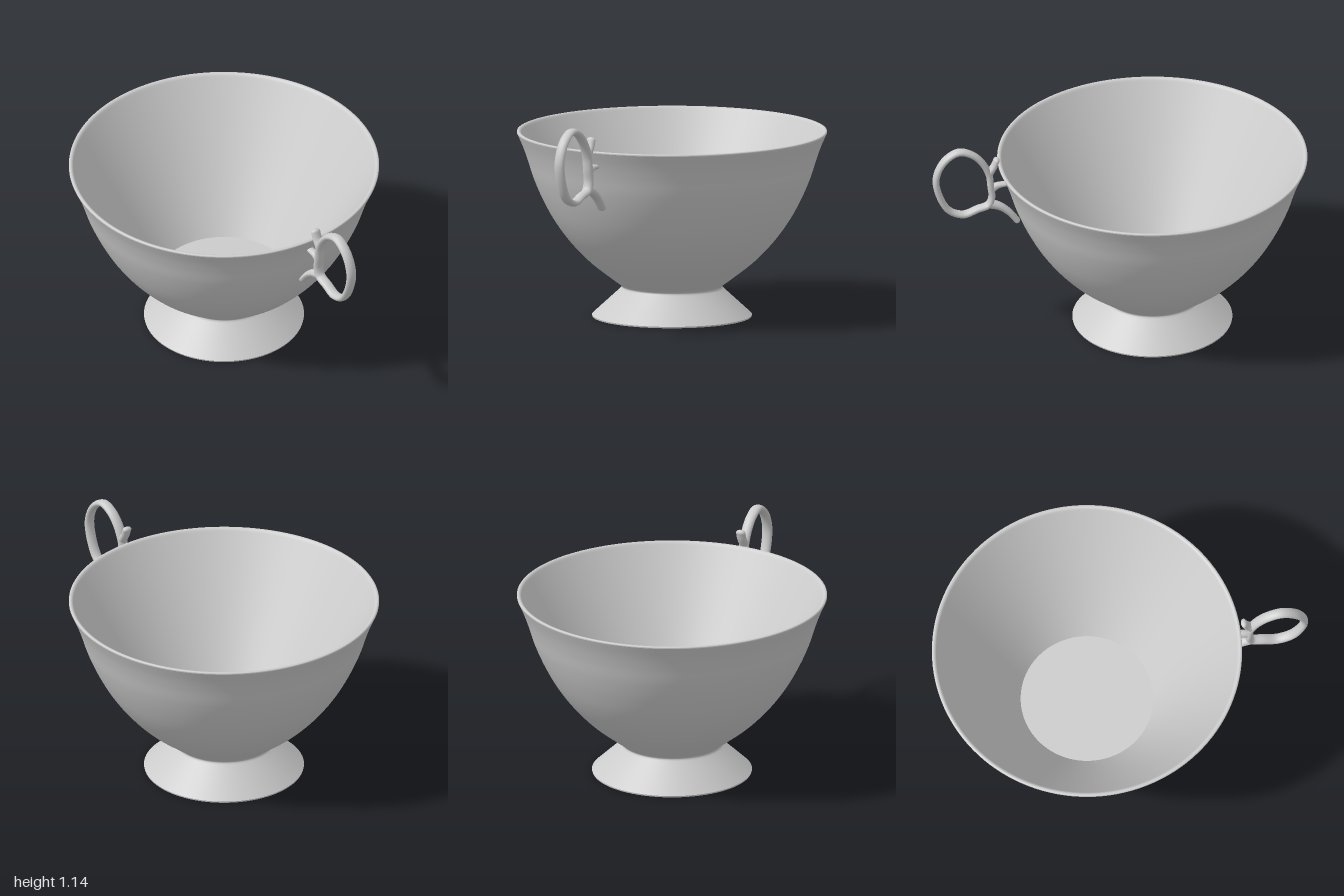
import * as THREE from 'three';

const CUP_X = -0.18; // axis of the bowl
const material = new THREE.MeshStandardMaterial({ color: 0xcccccc });

function add(parent, name, geometry) {
  const mesh = new THREE.Mesh(geometry, material);
  mesh.name = name;
  parent.add(mesh);
}

const vec2 = (pts) => pts.map(([x, y]) => new THREE.Vector2(x, y));
const vec3 = (pts) => pts.map(([x, y]) => new THREE.Vector3(x, y, 0));
const lathe = (pts) => new THREE.LatheGeometry(pts, 128);
const smooth = (pts, n) => new THREE.SplineCurve(vec2(pts)).getPoints(n);

// Flat disc facing up (1) or down (-1)
function disc(radius, y, facing) {
  return new THREE.CircleGeometry(radius, 128).rotateX(-facing * Math.PI / 2).translate(0, y, 0);
}

// Branch of the handle: round tip, spreading in the xy plane towards its root
function branch(parent, name, pts, radius, spread) {
  const points = vec3(pts);
  const curve = new THREE.CatmullRomCurve3(points, false, 'centripetal');
  const steps = 24, sides = 16;
  const tube = new THREE.TubeGeometry(curve, steps, radius, sides);
  const pos = tube.attributes.position;
  for (let i = 0; i < pos.count; i++) {
    const t = Math.floor(i / (sides + 1)) / steps;
    const c = curve.getPointAt(t);
    const k = 1 + (spread - 1) * t * t;
    pos.setX(i, c.x + (pos.getX(i) - c.x) * k);
    pos.setY(i, c.y + (pos.getY(i) - c.y) * k);
  }
  tube.computeVertexNormals();
  add(parent, name, tube);
  add(parent, name + 'Tip', new THREE.SphereGeometry(radius, 16, 12).translate(points[0].x, points[0].y, 0));
}

export function createModel() {
  const model = new THREE.Group();
  model.name = 'cup';

  const body = new THREE.Group();
  body.name = 'body';
  body.position.x = CUP_X;
  model.add(body);

  // Flat underside and thin rim of the foot
  add(body, 'footBase', disc(0.42, 0, -1));
  add(body, 'footRim', lathe(vec2([[0.42, 0], [0.422, 0.008]])));

  // Flared foot running through a soft neck into the bowl
  add(body, 'footAndBowlOutside', lathe(smooth([
    [0.422, 0.008], [0.37, 0.056], [0.32, 0.102], [0.28, 0.139], [0.267, 0.153], [0.267, 0.163], [0.28, 0.175],
    [0.33, 0.212], [0.44, 0.3], [0.54, 0.405], [0.62, 0.515], [0.683, 0.63],
    [0.73, 0.74], [0.762, 0.84], [0.788, 0.912], [0.818, 0.98],
  ], 140)));
  add(body, 'lip', lathe(smooth([[0.818, 0.98], [0.817, 0.987], [0.808, 0.99], [0.798, 0.985], [0.79, 0.974]], 16)));

  // Straight conical inside with a flat floor
  add(body, 'bowlInside', lathe(vec2([[0.79, 0.974], [0.35, 0.25]])));
  add(body, 'bowlFloor', disc(0.35, 0.25, 1));

  // Handle: oval ring, stem and two spurs, wider across than in profile
  const handle = new THREE.Group();
  handle.name = 'handle';
  handle.scale.z = 1.6;
  model.add(handle);
  const ring = new THREE.CatmullRomCurve3(vec3([
    [0.86, 1.124], [0.938, 1.075], [0.981, 0.971], [0.953, 0.842], [0.905, 0.77], [0.832, 0.742],
    [0.76, 0.766], [0.7, 0.787], [0.682, 0.83], [0.688, 0.9], [0.697, 0.97], [0.733, 1.045], [0.787, 1.1],
  ]), true, 'centripetal');
  add(handle, 'handleRing', new THREE.TubeGeometry(ring, 120, 0.018, 16, true));
  branch(handle, 'handleStem', [[0.548, 0.678], [0.59, 0.732], [0.64, 0.772], [0.7, 0.795]], 0.017, 1.6);
  branch(handle, 'upperSpur', [[0.657, 1.053], [0.672, 1.015], [0.7, 0.975]], 0.0165, 1.5);
  branch(handle, 'lowerSpur', [[0.6, 0.906], [0.65, 0.9], [0.686, 0.882]], 0.013, 2.2);

  return model;
}
